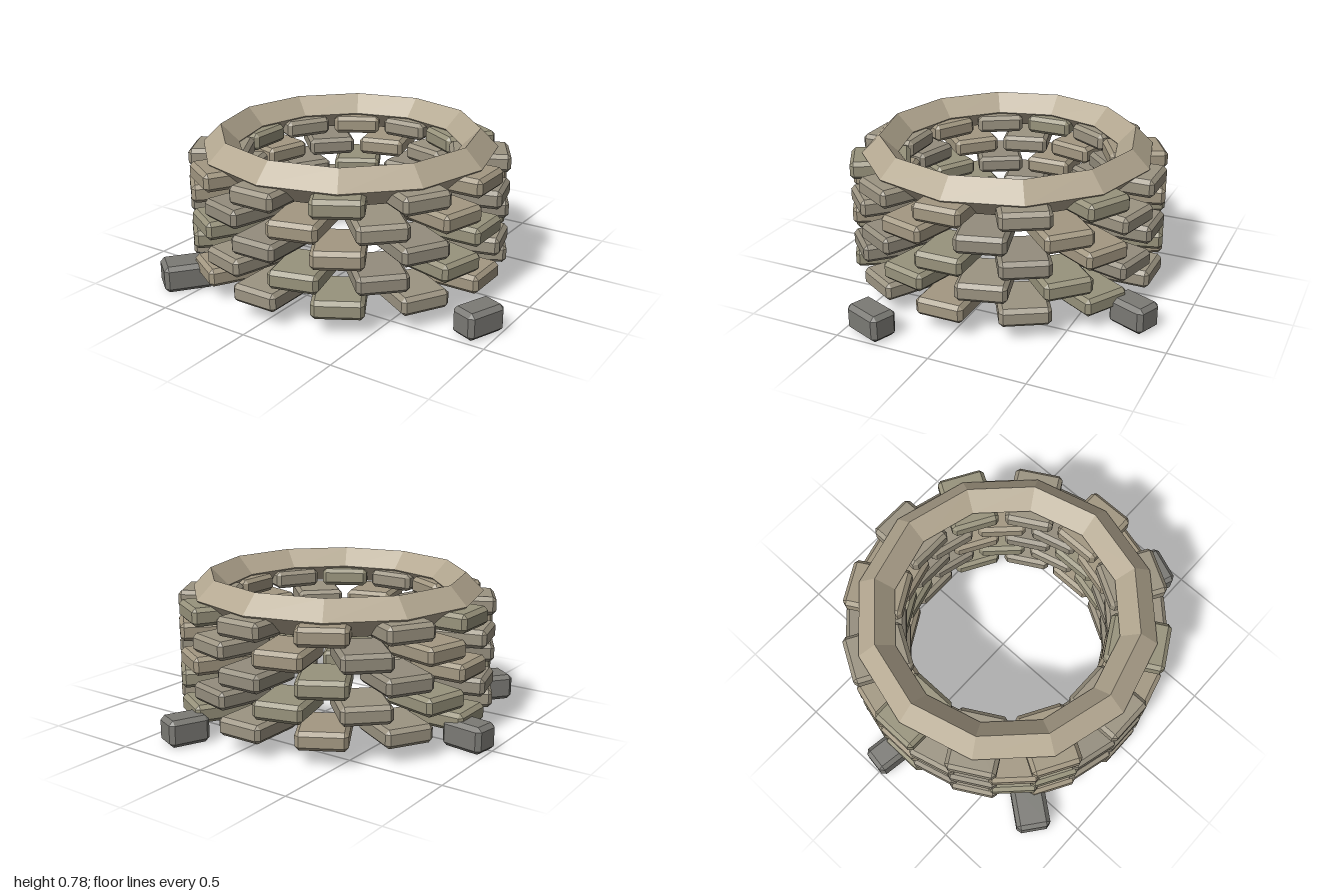
import * as THREE from 'three';
import { ConvexGeometry } from 'three/addons/geometries/ConvexGeometry.js';

// Box with every edge chamfered by c
function chamferedBox(w, h, d, c) {
  const points = [];
  for (const sx of [-1, 1]) for (const sy of [-1, 1]) for (const sz of [-1, 1]) {
    const x = w / 2, y = h / 2, z = d / 2;
    points.push(
      new THREE.Vector3(sx * x, sy * (y - c), sz * (z - c)),
      new THREE.Vector3(sx * (x - c), sy * y, sz * (z - c)),
      new THREE.Vector3(sx * (x - c), sy * (y - c), sz * z));
  }
  return new ConvexGeometry(points);
}

function stone(color) {
  return new THREE.MeshStandardMaterial({ color, flatShading: true });
}

export function createModel() {
  const model = new THREE.Group();
  model.name = 'stoneWell';

  const well = new THREE.Group();
  well.name = 'wellRing';
  well.position.set(-0.035, 0, 0.055);
  model.add(well);

  // Five staggered courses of twelve bricks
  const ROWS = 5, PER_ROW = 12;
  const brickGeometry = chamferedBox(0.255, 0.095, 0.31, 0.02);
  const tints = [0x9c9482, 0xa39882, 0x948d7d, 0x98937c].map(stone);
  for (let row = 0; row < ROWS; row++) {
    const course = new THREE.Group();
    course.name = `brickCourse${row + 1}`;
    course.position.y = 0.128 + row * 0.125;
    for (let i = 0; i < PER_ROW; i++) {
      const angle = ((i + (row % 2) / 2) / PER_ROW) * Math.PI * 2;
      const brick = new THREE.Mesh(brickGeometry, tints[(i * 7 + row * 3 + ((i * i) >> 1)) % tints.length]);
      brick.name = 'brick';
      brick.position.set(Math.sin(angle) * 0.675, 0, Math.cos(angle) * 0.675);
      brick.rotation.y = angle;
      course.add(brick);
    }
    well.add(course);
  }

  // Diamond-section capping ring
  const rim = new THREE.Mesh(new THREE.TorusGeometry(0.675, 0.095, 4, 12), stone(0xb5a992));
  rim.name = 'rim';
  rim.rotation.x = -Math.PI / 2;
  rim.position.y = 0.685;
  well.add(rim);

  // Loose stones on the ground: x, z, turn, width, length
  const rockMaterial = stone(0x7b7a75);
  const rocks = [
    [0.9, 0.362, -0.37, 0.145, 0.22],
    [0.308, -0.773, -0.4, 0.15, 0.215],
    [-0.878, -0.018, 1.42, 0.15, 0.23],
    [-0.592, 0.735, -0.66, 0.18, 0.255],
  ];
  for (const [x, z, turn, width, length] of rocks) {
    const rock = new THREE.Mesh(chamferedBox(width, 0.14, length, 0.022), rockMaterial);
    rock.name = 'looseStone';
    rock.position.set(x, 0.07, z);
    rock.rotation.y = turn;
    model.add(rock);
  }

  return model;
}
